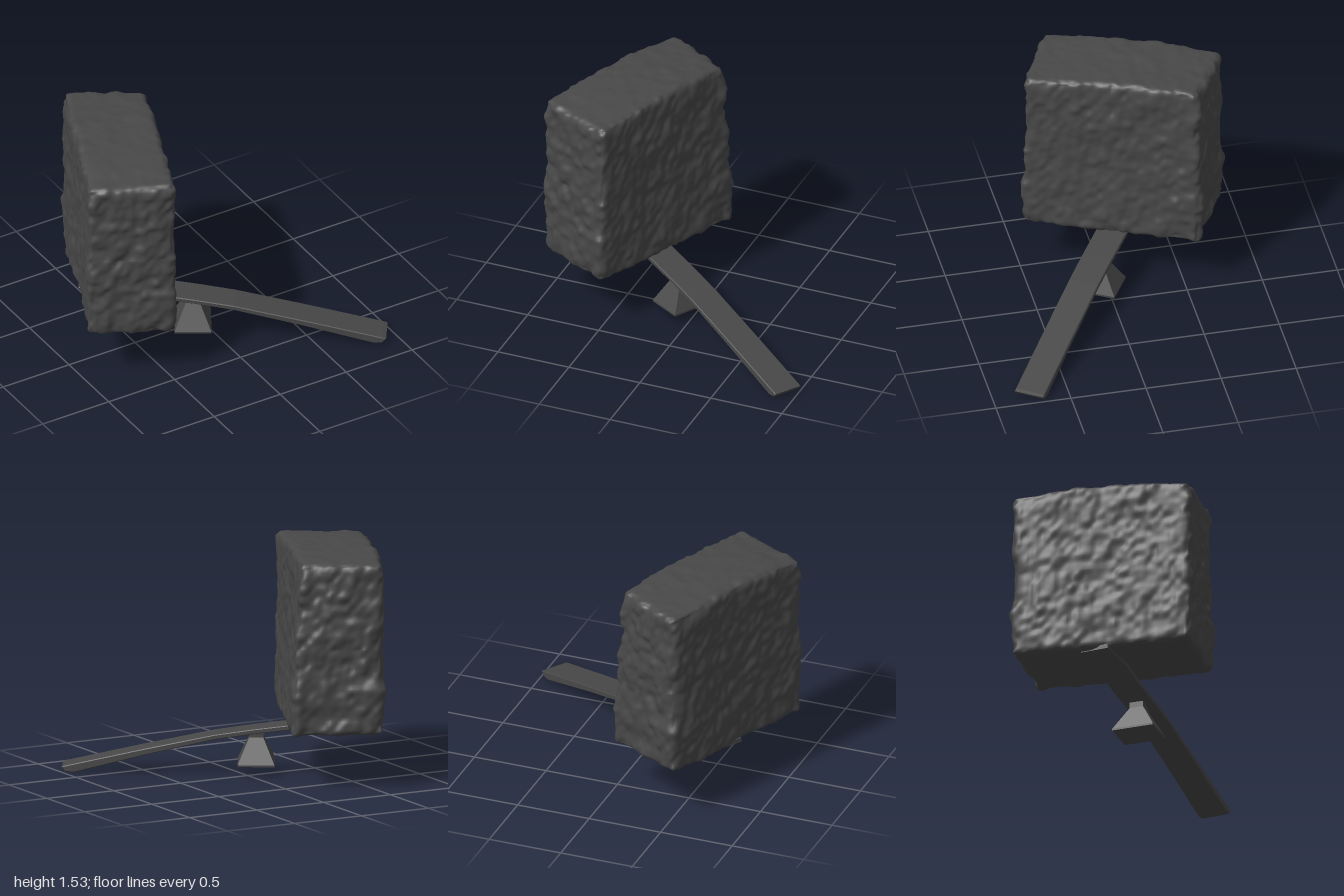
import * as THREE from 'three';
import { mergeVertices } from 'three/addons/utils/BufferGeometryUtils.js';

const stone = new THREE.MeshStandardMaterial({ color: 0x484848 });
stone.name = 'dark grey stone';

// Smooth value noise in the range -1..1
function hash(x, y, z) {
  const s = Math.sin(x * 127.1 + y * 311.7 + z * 74.7) * 43758.5453;
  return (s - Math.floor(s)) * 2 - 1;
}
function noise(x, y, z) {
  const i = Math.floor(x), j = Math.floor(y), k = Math.floor(z);
  const fade = (t) => t * t * (3 - 2 * t);
  const u = fade(x - i), v = fade(y - j), w = fade(z - k);
  const mix = THREE.MathUtils.lerp;
  const row = (b, c) => mix(hash(i, j + b, k + c), hash(i + 1, j + b, k + c), u);
  return mix(mix(row(0, 0), row(1, 0), v), mix(row(0, 1), row(1, 1), v), w);
}

// Rough hewn block: a rounded box with carved, uneven faces
function makeBlock() {
  const half = new THREE.Vector3(0.285, 0.573, 0.605);
  const r = 0.045;
  let geo = new THREE.BoxGeometry(half.x * 2, half.y * 2, half.z * 2, 36, 72, 76);
  geo.deleteAttribute('uv');
  geo.deleteAttribute('normal');
  geo = mergeVertices(geo, 1e-4);
  const pos = geo.attributes.position;
  const p = new THREE.Vector3(), core = new THREE.Vector3(), n = new THREE.Vector3();
  const inner = half.clone().subScalar(r);
  const outer = inner.clone().negate();
  for (let i = 0; i < pos.count; i++) {
    p.fromBufferAttribute(pos, i);
    core.copy(p).clamp(outer, inner);
    n.subVectors(p, core).normalize();
    // narrow ends are roughest, top and bottom are smoothest
    const amp = 0.55 * Math.abs(n.x) + 0.25 * Math.abs(n.y) + 0.75 * Math.abs(n.z);
    const d = 0.016 * noise(p.x * 4 + 9, p.y * 4, p.z * 4)
      + 0.022 * noise(p.x * 12, p.y * 11 + 5, p.z * 12)
      + 0.014 * noise(p.x * 25, p.y * 22, p.z * 25 + 3);
    p.copy(core).addScaledVector(n, r + d * amp);
    const t = (p.y + half.y) / (2 * half.y);
    const right = THREE.MathUtils.smoothstep(p.x, -half.x, half.x);
    const back = THREE.MathUtils.smoothstep(-p.z, -half.z, half.z);
    // the back right corner leans in, the left face swells towards the back
    p.x -= 0.065 * t * right * back;
    p.x -= 0.04 * (1 - right) * Math.exp(-(((p.z + 0.42) / 0.35) ** 2));
    // the back end is cut slightly askew and both ends taper upwards
    p.z += 0.03 * right * back;
    p.z *= 1 - 0.03 * t;
    // the top is crowned
    if (p.y > 0) p.y += t * 0.035 * (0.5 - (p.z / half.z) ** 2);
    pos.setXYZ(i, p.x, p.y, p.z);
  }
  geo.computeVertexNormals();
  const mesh = new THREE.Mesh(geo, stone);
  mesh.name = 'stoneBlock';
  mesh.position.set(-0.493, 0.93, -0.18);
  mesh.rotation.y = -0.433;
  return mesh;
}

// Bent lever plank, drawn in side profile and extruded across its width
function makeLever() {
  const b = 0.005;
  const profile = [
    [0.003, 0.036], [-0.02, 0.006], [-0.07, 0.0], [-0.12, 0.012], [-0.55, 0.125], [-0.99, 0.23],
    [-1.24, 0.27], [-1.55, 0.309], [-1.68, 0.345], [-2.0, 0.35], [-2.0, 0.38], [-1.68, 0.376],
    [-1.55, 0.342], [-1.24, 0.301], [-0.99, 0.262], [-0.5, 0.155], [-0.02, 0.044],
  ];
  const shape = new THREE.Shape(profile.map(([x, y]) => new THREE.Vector2(x, y)));
  const geo = new THREE.ExtrudeGeometry(shape, {
    depth: 0.19, bevelEnabled: true, bevelThickness: b, bevelSize: b, bevelOffset: -b, bevelSegments: 1,
  });
  geo.translate(0, 0, -0.095);
  const mesh = new THREE.Mesh(geo, stone);
  mesh.name = 'leverPlank';
  mesh.position.set(0.945, 0, 0.767);
  mesh.rotation.y = -0.588;
  return mesh;
}

// Four-sided fulcrum: low plinth, sloping sides and a short neck
function makeFulcrum() {
  const group = new THREE.Group();
  group.name = 'fulcrum';
  const levels = [[0.062, 0.12, 0.14], [0.075, 0.12, 0.14], [0.24, 0.046, 0.046], [0.28, 0.046, 0.046]];
  for (let i = 0; i < levels.length - 1; i++) {
    const [y0, w0, d0] = levels[i], [y1, w1, d1] = levels[i + 1];
    const geo = new THREE.BoxGeometry(2, y1 - y0, 2);
    const pos = geo.attributes.position;
    for (let k = 0; k < pos.count; k++) {
      const up = pos.getY(k) > 0;
      pos.setX(k, pos.getX(k) * (up ? w1 : w0));
      pos.setZ(k, pos.getZ(k) * (up ? d1 : d0));
    }
    geo.computeVertexNormals();
    const mesh = new THREE.Mesh(geo, stone);
    mesh.name = ['fulcrumPlinth', 'fulcrumSlope', 'fulcrumNeck'][i];
    mesh.position.y = (y0 + y1) / 2;
    group.add(mesh);
  }
  group.position.set(-0.1, 0, 0.063);
  group.rotation.y = -0.53;
  return group;
}

export function createModel() {
  const model = new THREE.Group();
  model.name = 'stoneOnLever';
  model.add(makeBlock(), makeLever(), makeFulcrum());
  return model;
}
